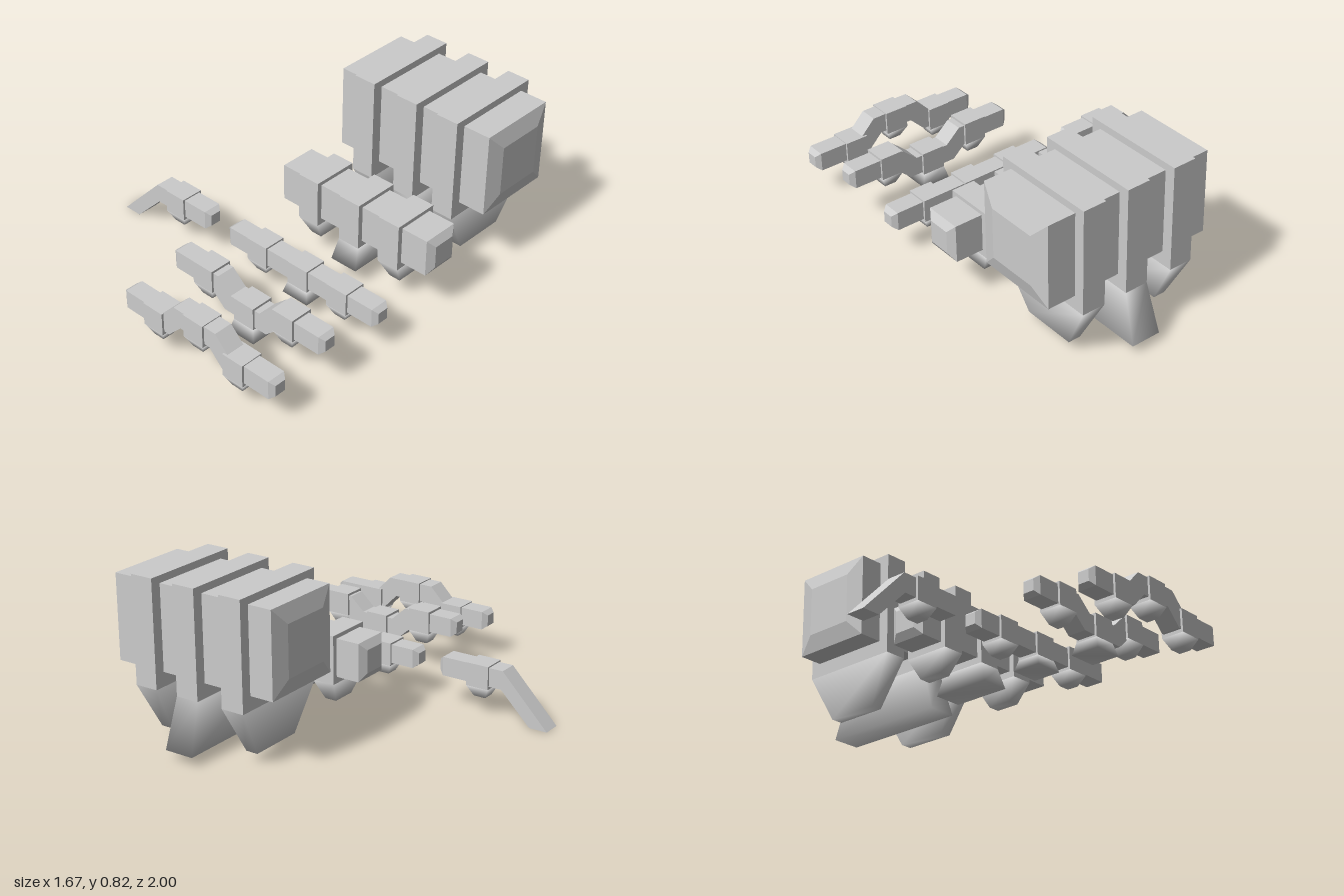
import * as THREE from 'three';
import { mergeVertices } from 'three/addons/utils/BufferGeometryUtils.js';

const material = new THREE.MeshStandardMaterial({ color: 0xcccccc });

function add(parent, name, geometry, x, y, z) {
  const mesh = new THREE.Mesh(geometry, material);
  mesh.name = name;
  mesh.position.set(x, y, z);
  parent.add(mesh);
  return mesh;
}

// Box whose end on one side of an axis is scaled across the other two axes.
function taperedBox(w, h, d, axis, sign, scale) {
  const geo = new THREE.BoxGeometry(w, h, d);
  const pos = geo.attributes.position;
  for (let i = 0; i < pos.count; i++) {
    if (pos.getComponent(i, axis) * sign < 0) continue;
    for (let k = 0; k < 3; k++) {
      if (k !== axis) pos.setComponent(i, k, pos.getComponent(i, k) * scale);
    }
  }
  geo.computeVertexNormals();
  return geo;
}

// Softly shaded foot hanging below a collar.
function footGeometry(w, h, d, scale) {
  const geo = taperedBox(w, h, d, 1, -1, scale);
  geo.deleteAttribute('normal');
  geo.deleteAttribute('uv');
  const merged = mergeVertices(geo);
  merged.computeVertexNormals();
  return merged;
}

// Square bar with a side profile given as [x, y] points.
function bar(parent, points, half, z) {
  const shape = new THREE.Shape(points.map(([x, y]) => new THREE.Vector2(x, y)));
  const geo = new THREE.ExtrudeGeometry(shape, { depth: 2 * half, bevelEnabled: false });
  add(parent, 'bar', geo, 0, 0, z - half);
}

// Bevelled cap on a bar end.
function endCap(parent, x, y, z, half, sign) {
  const length = 0.025;
  add(parent, 'endCap', taperedBox(length, 2 * half, 2 * half, 0, sign, 0.6),
    x + sign * length / 2, y, z);
}

// Collar around the bar, with a narrowing or flaring foot.
function collar(parent, x, bottom, z, half, footHeight, flared) {
  add(parent, 'collar', new THREE.BoxGeometry(0.12, 2 * half, 2 * half), x, bottom + half, z);
  add(parent, flared ? 'flaredFoot' : 'taperedFoot',
    footGeometry(0.12, footHeight, 2 * half, flared ? 1.27 : 0.52),
    x, bottom - footHeight / 2, z);
}

const MID = 0.363, LEFT = 0.808, RIGHT = -0.08;

// Full row: a bar with three collars; rise lifts or drops the middle.
function row(name, { z, y, half, collarHalf, bottom, foot, rise = 0, flared = true }) {
  const group = new THREE.Group();
  group.name = name;
  let path = [[RIGHT, y], [LEFT, y]];
  if (rise) {
    path = [[RIGHT, y], [0.175, y], [0.253, y + rise], [0.473, y + rise], [0.551, y], [LEFT, y]];
  }
  // Mitre the bends so the bar keeps its thickness.
  const edge = (side) => path.map(([x, py], i) => {
    const bend = [0, -1, -1, 1, 1, 0][i] * Math.sign(rise);
    return [x + (rise ? bend * side * half * 0.41 : 0), py + side * half];
  });
  bar(group, [...edge(-1), ...edge(1).reverse()], half, z);
  endCap(group, LEFT, y, z, half, 1);
  endCap(group, RIGHT, y, z, half, -1);
  for (const side of [-1, 0, 1]) {
    const middle = side === 0;
    collar(group, MID + side * 0.25 - Math.abs(side) * 0.009, bottom + (middle ? rise : 0),
      z, collarHalf, foot, middle && flared);
  }
  return group;
}

// Short piece with a sloping ramp down to the ground.
function rampPiece() {
  const group = new THREE.Group();
  group.name = 'rampPiece';
  const z = 0.285, half = 0.048, y = 0.206;
  bar(group, [[-0.833, 0], [-0.738, 0], [-0.58, y - half], [-0.255, y - half],
    [-0.255, y + half], [-0.587, y + half]], half, z);
  endCap(group, -0.255, y, z, half, 1);
  collar(group, -0.453, 0.143, z, 0.059, 0.057, false);
  return group;
}

export function createModel() {
  const model = new THREE.Group();
  model.name = 'modularBarSet';
  const small = { half: 0.048, collarHalf: 0.059 };
  model.add(
    row('largeRow', { z: -0.661, y: 0.575, half: 0.213, collarHalf: 0.267, bottom: 0.29, foot: 0.242 }),
    row('mediumRow', { z: -0.13, y: 0.332, half: 0.096, collarHalf: 0.122, bottom: 0.203, foot: 0.108 }),
    row('straightRow', { ...small, z: 0.285, y: 0.203, bottom: 0.142, foot: 0.056 }),
    row('valleyRow', { ...small, z: 0.633, y: 0.258, bottom: 0.2, foot: 0.063, rise: -0.07 }),
    row('hillRow', { ...small, z: 0.941, y: 0.203, bottom: 0.138, foot: 0.056, rise: 0.079, flared: false }),
    rampPiece()
  );
  return model;
}
